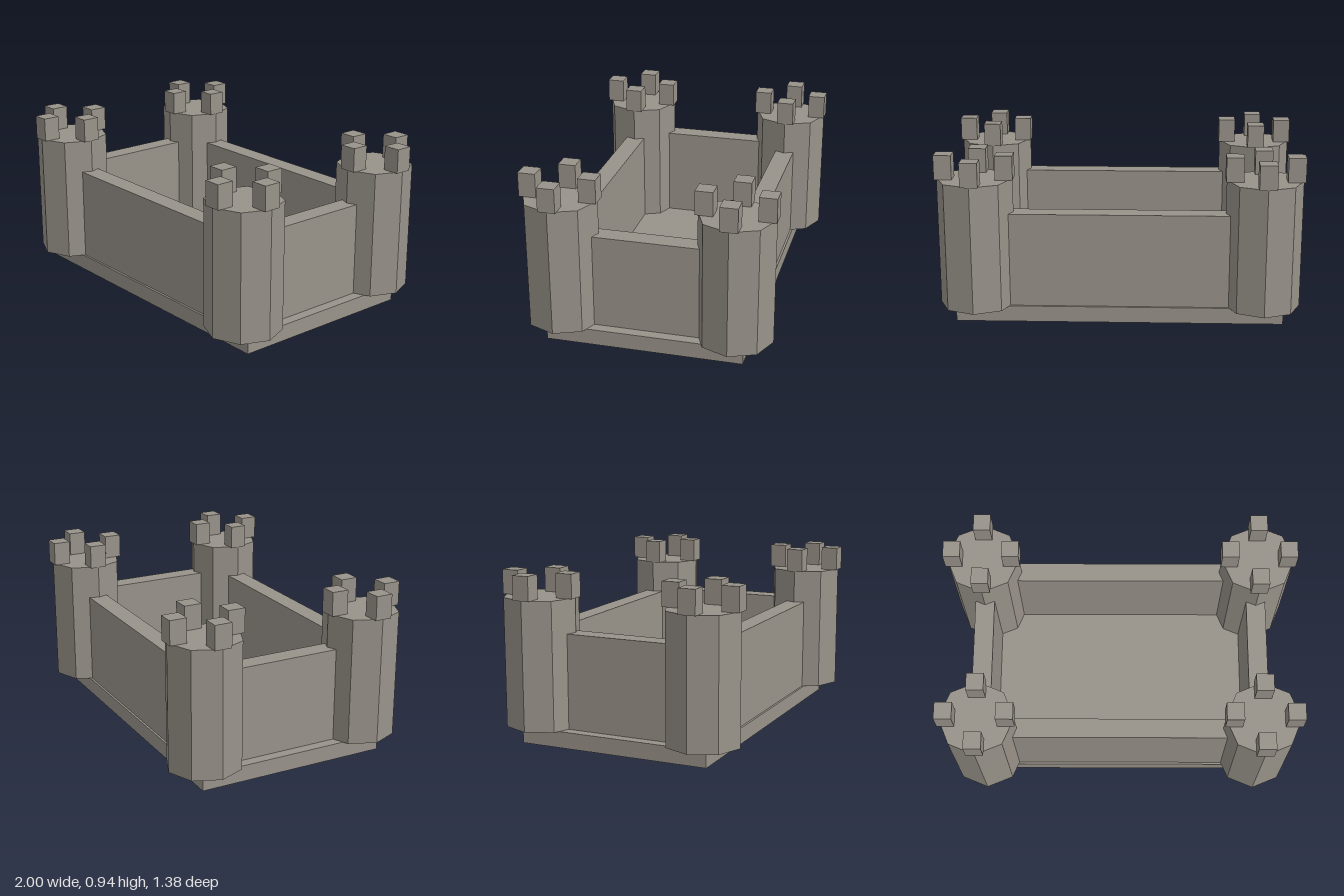
import * as THREE from 'three';

const stone = new THREE.MeshStandardMaterial({ color: 0x99938a });
stone.name = 'stone';
stone.flatShading = true;

// Tower centres, measured from the middle of the courtyard
const TX = 0.787, TZ = 0.477;
const BASE_TOP = 0.09, WALL_TOP = 0.615, TOWER_TOP = 0.803, MERLON_TOP = 0.937;

function box(name, w, d, y0, y1, x, z) {
  const mesh = new THREE.Mesh(new THREE.BoxGeometry(w, y1 - y0, d), stone);
  mesh.name = name;
  mesh.position.set(x, (y0 + y1) / 2, z);
  return mesh;
}

// Eight-sided tower with four merlons at the compass points
function tower(name, x, z) {
  const group = new THREE.Group();
  group.name = name;
  group.position.set(x, 0, z);
  const h = TOWER_TOP - BASE_TOP;
  const shaft = new THREE.Mesh(new THREE.CylinderGeometry(0.208, 0.208, h, 8), stone);
  shaft.name = 'towerShaft';
  shaft.position.y = BASE_TOP + h / 2;
  group.add(shaft);
  for (let i = 0; i < 4; i++) {
    const a = i * Math.PI / 2;
    group.add(box('merlon', 0.096, 0.096, TOWER_TOP, MERLON_TOP, 0.165 * Math.cos(a), 0.165 * Math.sin(a)));
  }
  return group;
}

export function createModel() {
  const castle = new THREE.Group();
  castle.name = 'castle';

  // Foundation slab
  castle.add(box('foundation', 1.804, 1.088, 0, BASE_TOP, 0, 0));

  // Curtain walls, running between the tower centres
  for (const s of [1, -1]) {
    castle.add(box(s > 0 ? 'frontWall' : 'backWall', TX * 2, 0.11, BASE_TOP, WALL_TOP, 0, s * TZ));
    castle.add(box(s > 0 ? 'leftWall' : 'rightWall', 0.11, TZ * 2, BASE_TOP, WALL_TOP, s * TX, 0));
  }

  // Corner towers
  for (const sx of [1, -1]) for (const sz of [1, -1]) {
    castle.add(tower((sz > 0 ? 'front' : 'back') + (sx > 0 ? 'Left' : 'Right') + 'Tower', sx * TX, sz * TZ));
  }
  return castle;
}
